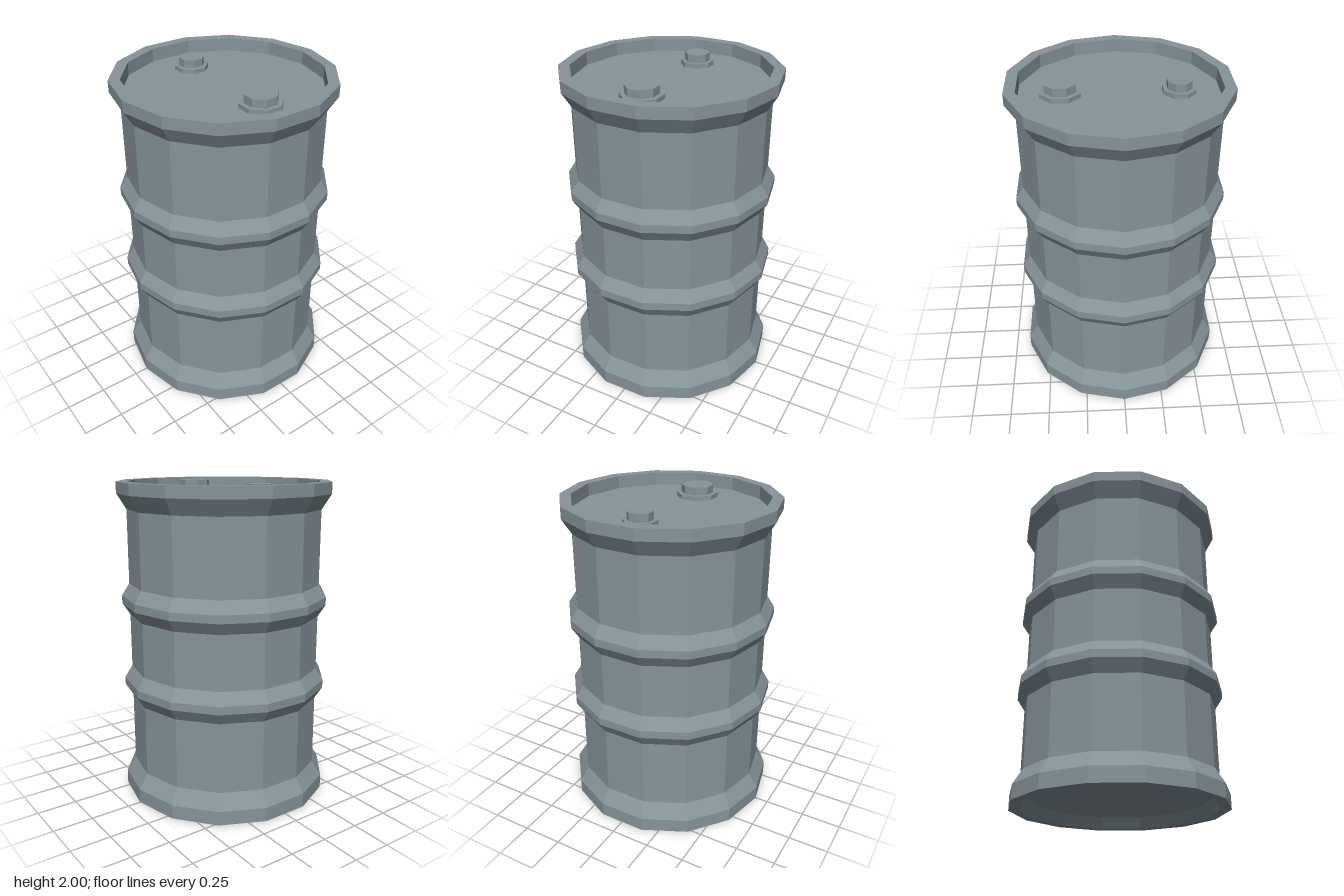
import * as THREE from 'three';

const steel = new THREE.MeshStandardMaterial({ color: 0x86949a });
steel.name = 'grey steel';

// One flat normal per face for a faceted look
function facetedMesh(geometry, name) {
  const flat = geometry.toNonIndexed();
  flat.computeVertexNormals();
  const mesh = new THREE.Mesh(flat, steel);
  mesh.name = name;
  return mesh;
}

// Drum body: one profile from the recessed base, up the ribbed wall, to the recessed lid
function makeBody() {
  const wall = 0.607, rib = 0.655, rim = 0.666;
  const ribAt = (y) => [[wall, y - 0.1], [rib, y - 0.025], [rib, y + 0.025], [wall, y + 0.1]];
  const profile = [
    [0, 0.065], [0.55, 0.065], [0.6, 0], [rim, 0],
    [rim, 0.09], [wall, 0.185],
    ...ribAt(0.733), ...ribAt(1.275),
    [wall, 1.835], [rim, 1.93],
    [rim, 2], [0.598, 2], [0.598, 1.92], [0, 1.92],
  ].map(([r, y]) => new THREE.Vector2(r, y));
  return facetedMesh(new THREE.LatheGeometry(profile, 14, Math.PI / 2), 'drumBody');
}

// Octagonal prism measured across its flats
function octagon(acrossFlats, bottom, top, name) {
  const r = acrossFlats / 2 / Math.cos(Math.PI / 8);
  const geometry = new THREE.CylinderGeometry(r, r, top - bottom, 8, 1, false, Math.PI / 8);
  geometry.translate(0, (top + bottom) / 2, 0);
  return facetedMesh(geometry, name);
}

// Filler plug: a wide flange with a narrower cap
function makePlug(name, z, flange, cap) {
  const plug = new THREE.Group();
  plug.name = name;
  plug.add(octagon(flange, 1.915, 1.947, 'plugFlange'));
  plug.add(octagon(cap, 1.94, 1.995, 'plugCap'));
  plug.position.z = z;
  return plug;
}

export function createModel() {
  const drum = new THREE.Group();
  drum.name = 'steelDrum';
  drum.add(makeBody());
  drum.add(makePlug('largePlug', 0.34, 0.24, 0.184));
  drum.add(makePlug('smallPlug', -0.345, 0.19, 0.142));
  return drum;
}
